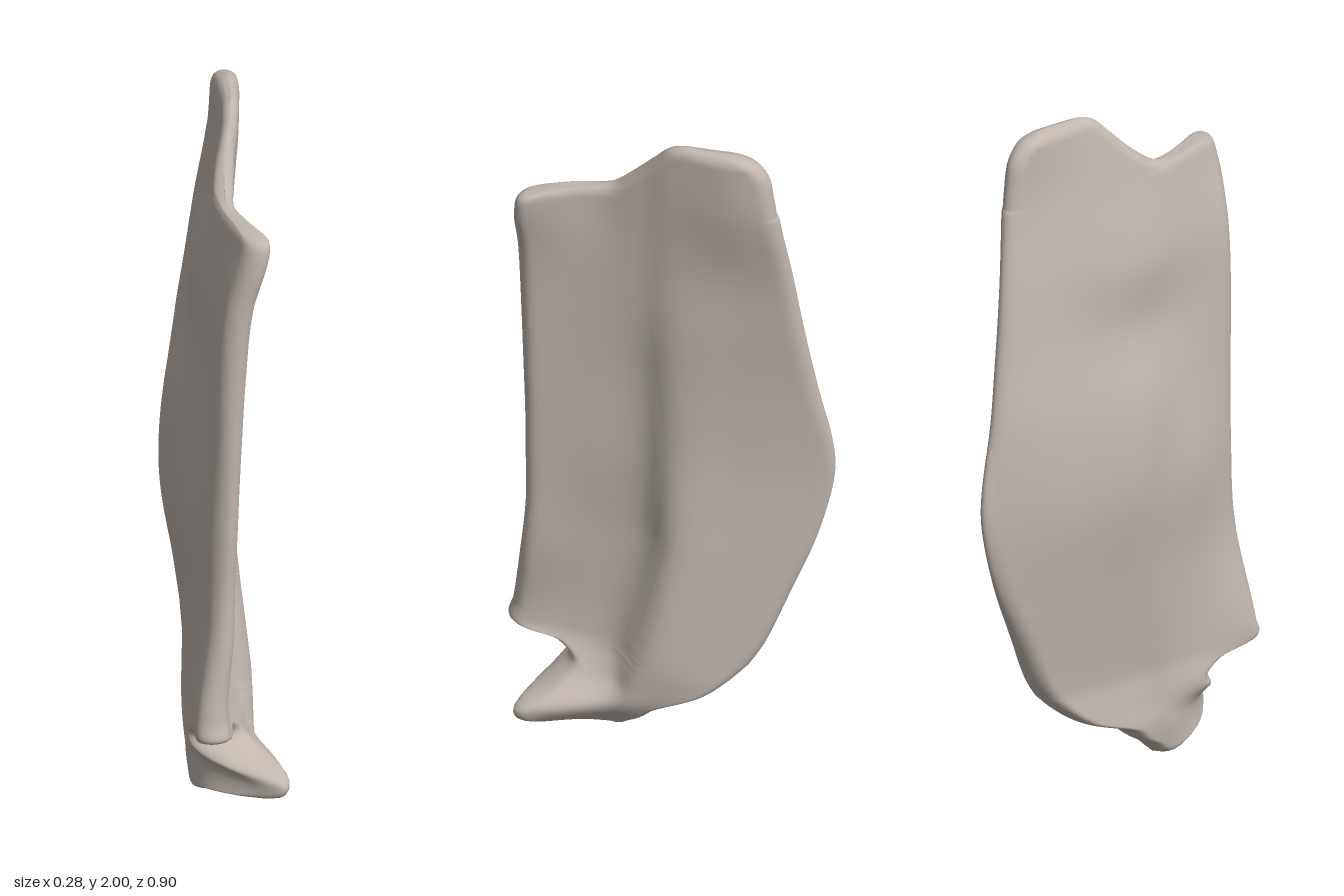
import * as THREE from 'three';

// Outline of the slab, bottom to top: [front z, y, back z]
const OUTLINE = [
  [0.17, 0, 0.13], [0.27, 0.045, 0.09], [0.40, 0.075, 0.05], [0.41, 0.115, 0.01], [0.32, 0.175, -0.12],
  [0.28, 0.22, -0.175], [0.33, 0.262, -0.215], [0.45, 0.288, -0.235], [0.44, 0.34, -0.265], [0.42, 0.5, -0.33],
  [0.40, 0.7, -0.405], [0.40, 0.9, -0.45], [0.40, 1.0, -0.447], [0.405, 1.2, -0.405], [0.41, 1.4, -0.37],
  [0.415, 1.6, -0.34], [0.42, 1.72, -0.32], [0.405, 1.785, -0.31], [0.34, 1.80, -0.305], [0.18, 1.811, -0.302],
  [0.11, 1.86, -0.295], [0.04, 1.935, -0.28], [0.0, 1.98, -0.24], [-0.04, 2, -0.18],
];

// Folds: x of the right-hand (-x) and left-hand (+x) faces at each z station
const STATIONS = [0.42, 0.22, 0.07, -0.01, -0.2, -0.42];
const FOLDS = [
  { y: 0.0, lo: [0.07, -0.07, -0.09, -0.08, -0.06, -0.02], hi: [0.11, 0.02, 0.00, 0.02, 0.04, 0.04] },
  { y: 0.12, lo: [0.09, -0.06, -0.10, -0.09, -0.06, -0.01], hi: [0.145, 0.12, 0.09, 0.09, 0.08, 0.06] },
  { y: 0.2, lo: [-0.07, -0.115, -0.10, -0.08, -0.05, -0.01], hi: [0.05, 0.05, 0.06, 0.10, 0.085, 0.05] },
  { y: 0.3, lo: [-0.13, -0.11, -0.09, -0.07, -0.04, 0.00], hi: [-0.035, -0.01, 0.03, 0.10, 0.08, 0.05] },
  { y: 0.6, lo: [-0.08, -0.105, -0.105, -0.10, -0.07, -0.01], hi: [-0.01, -0.025, 0.00, 0.075, 0.06, 0.03] },
  { y: 0.88, lo: [-0.06, -0.12, -0.13, -0.14, -0.095, -0.02], hi: [0.00, -0.01, 0.00, 0.055, 0.045, 0.02] },
  { y: 1.15, lo: [-0.06, -0.09, -0.12, -0.125, -0.075, -0.01], hi: [0.01, 0.00, 0.005, 0.05, 0.05, 0.03] },
  { y: 1.36, lo: [-0.06, -0.065, -0.07, -0.07, -0.03, 0.01], hi: [0.02, 0.01, 0.02, 0.055, 0.06, 0.05] },
  { y: 1.57, lo: [-0.04, -0.06, -0.075, -0.06, 0.00, 0.03], hi: [0.04, 0.02, 0.03, 0.055, 0.07, 0.07] },
  { y: 1.8, lo: [0.025, -0.02, -0.02, 0.00, 0.04, 0.05], hi: [0.10, 0.03, 0.045, 0.07, 0.11, 0.09] },
  { y: 2.0, lo: [0.03, 0.00, 0.03, 0.04, 0.05, 0.05], hi: [0.09, 0.05, 0.06, 0.08, 0.115, 0.09] },
];

// Smooth interpolation through unevenly spaced keys
function smooth(keys, values, k) {
  const last = keys.length - 1;
  const s = Math.sign(keys[last] - keys[0]);
  let i = 0;
  while (i < last - 1 && s * k > s * keys[i + 1]) i++;
  const t = THREE.MathUtils.clamp((k - keys[i]) / (keys[i + 1] - keys[i]), 0, 1);
  const slope = (j) => {
    const a = Math.max(j - 1, 0), b = Math.min(j + 1, last);
    return (values[b] - values[a]) / (keys[b] - keys[a]) * (keys[i + 1] - keys[i]);
  };
  const t2 = t * t, t3 = t2 * t;
  return values[i] * (2 * t3 - 3 * t2 + 1) + slope(i) * (t3 - 2 * t2 + t)
    + values[i + 1] * (3 * t2 - 2 * t3) + slope(i + 1) * (t3 - t2);
}

const foldY = FOLDS.map((f) => f.y);
function faceX(side, z, y) {
  return smooth(foldY, FOLDS.map((f) => smooth(STATIONS, f[side], z)), y);
}

// Quarter-circle falloff that rounds the rim within distance r of the edge
function round(d, r) {
  const q = 1 - THREE.MathUtils.clamp(d / r, 0, 1);
  return Math.sqrt(Math.max(0, 1 - q * q));
}

// Height of the top edge: a low front shoulder rising to the back peak
function topY(z) {
  return 2 - 0.188 * THREE.MathUtils.smoothstep(z, -0.02, 0.18);
}

function slabGeometry(half = 40, perSpan = 6) {
  const path = new THREE.CatmullRomCurve3(OUTLINE.map((p) => new THREE.Vector3(...p)));
  const rows = (OUTLINE.length - 1) * perSpan;
  const ring = half * 2;
  const pos = [], index = [];
  for (let i = 0; i <= rows; i++) {
    const { x: front, y, z: back } = path.getPoint(i / rows);
    // the central crease swings forward near the foot
    const swing = 0.13 * Math.max(0, 1 - y / 0.65);
    for (let j = 0; j < ring; j++) {
      const u = (1 - Math.cos(Math.PI * j / half)) / 2;
      const z = front + (back - front) * u;
      const zs = z - swing * Math.max(0, 1 - Math.abs(z - 0.1) / 0.35);
      const lo = faceX('lo', zs, y), hi = faceX('hi', zs, y);
      const cap = round(topY(z) - y, 0.035) * round(y, 0.03);
      const thick = (hi - lo) / 2 * cap * round(Math.min(front - z, z - back), 0.04);
      pos.push((lo + hi) / 2 + (j <= half ? thick : -thick), y, z);
      if (i < rows) {
        const a = i * ring + j, b = i * ring + (j + 1) % ring;
        index.push(a, b, a + ring, b, b + ring, a + ring);
      }
    }
  }
  const geo = new THREE.BufferGeometry();
  geo.setAttribute('position', new THREE.Float32BufferAttribute(pos, 3));
  geo.setIndex(index);
  geo.computeVertexNormals();
  return geo;
}

export function createModel() {
  const group = new THREE.Group();
  group.name = 'foldedSlab';
  const clay = new THREE.MeshStandardMaterial({ color: 0xc0b6ae });
  clay.name = 'warm grey';
  const slab = new THREE.Mesh(slabGeometry(), clay);
  slab.name = 'slab';
  group.add(slab);
  return group;
}
